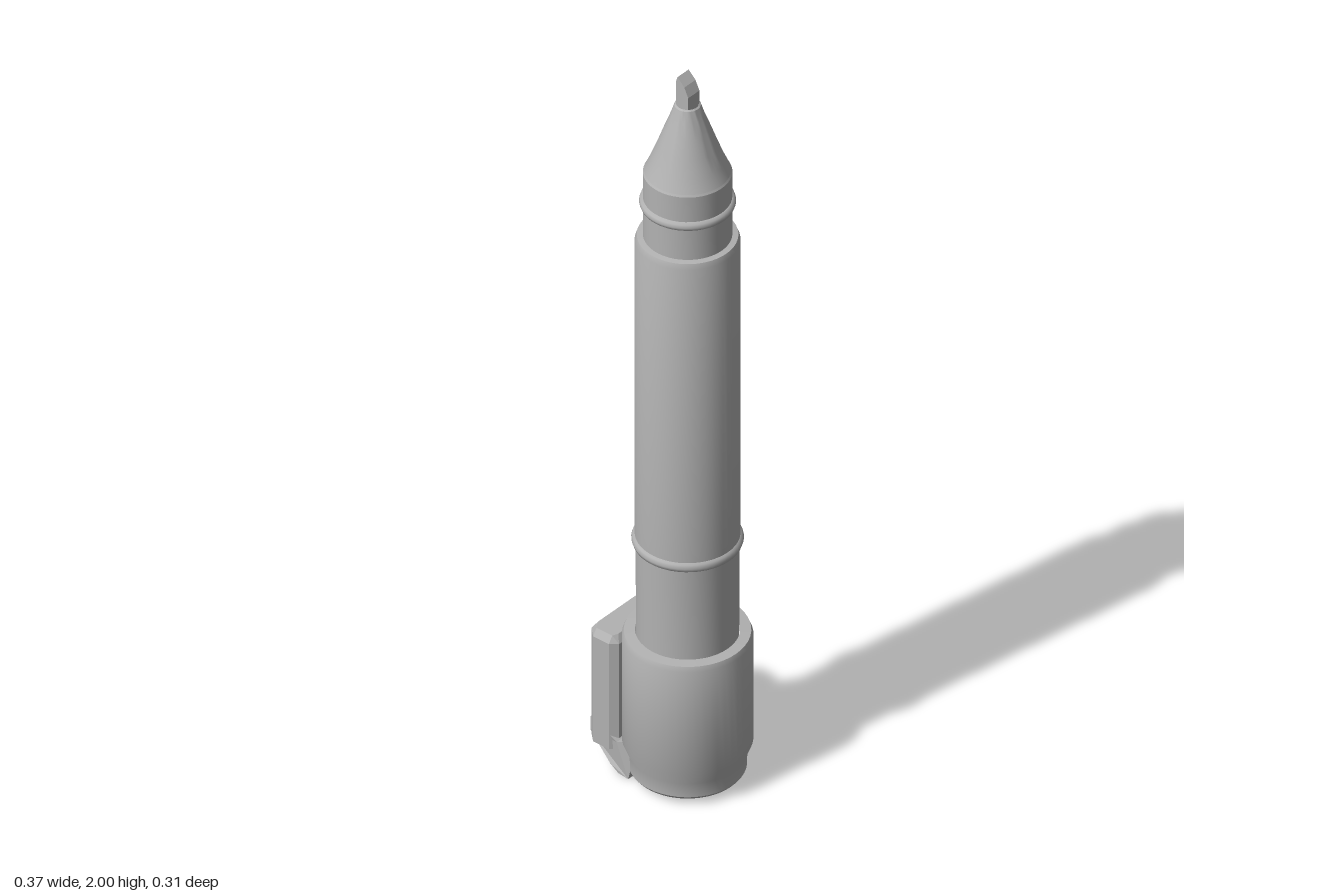
import * as THREE from 'three';
import { toCreasedNormals } from 'three/addons/utils/BufferGeometryUtils.js';
import { ConvexGeometry } from 'three/addons/geometries/ConvexGeometry.js';

export function createModel() {
  const model = new THREE.Group();
  const grey = new THREE.MeshStandardMaterial({ color: 0xb2b2b2 });
  const axisX = 0.03; // the pen axis sits beside the clip

  function add(name, geometry, x = 0) {
    const mesh = new THREE.Mesh(geometry, grey);
    mesh.name = name;
    mesh.position.x = x;
    model.add(mesh);
  }
  // Turned part from [radius, height] pairs, listed bottom to top
  function turned(name, profile) {
    const points = profile.map(([r, y]) => new THREE.Vector2(r, y));
    add(name, toCreasedNormals(new THREE.LatheGeometry(points, 48), 0.5), axisX);
  }
  function ring(name, radius, tube, y) {
    const geometry = new THREE.TorusGeometry(radius, tube, 10, 48);
    geometry.rotateX(Math.PI / 2).translate(0, y, 0);
    add(name, geometry, axisX);
  }

  // Cap with stepped foot and recessed end
  turned('cap', [
    [0, 0.04], [0.098, 0.04], [0.105, 0.018], [0.132, 0.018], [0.138, 0.026],
    [0.139, 0.065], [0.153, 0.1], [0.153, 0.395], [0.148, 0.408], [0.122, 0.41],
  ]);

  // Barrel
  turned('lowerBarrel', [[0.12, 0.4], [0.121, 0.67]]);
  ring('barrelRing', 0.115, 0.016, 0.675);
  turned('barrel', [[0.123, 0.67], [0.123, 1.53], [0.118, 1.544], [0.104, 1.546]]);

  // Neck and grip cone
  turned('neck', [[0.104, 1.54], [0.104, 1.725], [0.1, 1.732]]);
  ring('neckRing', 0.1, 0.013, 1.642);
  turned('tipCone', [
    [0.102, 1.728], [0.088, 1.76], [0.071, 1.805], [0.055, 1.85],
    [0.04, 1.89], [0.031, 1.918], [0.027, 1.921], [0.021, 1.905], [0, 1.905],
  ]);

  // Slanted chisel nib
  const nib = [];
  for (const z of [-0.02, 0.02]) {
    for (const [x, y] of [[0.011, 1.9], [0.049, 1.9], [0.049, 1.955], [0.037, 1.98], [0.016, 2], [0.011, 1.985]]) {
      nib.push(new THREE.Vector3(x, y, z));
    }
  }
  add('nib', new ConvexGeometry(nib));

  // Clip plate: bevelled cross-sections stacked in height
  const clip = [];
  const sections = [[0.06, 0, 0], [0.362, 0, 0], [0.38, 0.012, 0.012]];
  for (const [y, dx, dz] of sections) {
    for (const side of [-1, 1]) {
      for (const [x, z] of [[-0.185 + dx, 0.092 - dz], [-0.16, 0.115 - dz], [-0.112, 0.115 - dz], [-0.094 - dx, 0.1 - dz]]) {
        clip.push(new THREE.Vector3(x, y, z * side));
      }
    }
  }
  add('clipPlate', new ConvexGeometry(clip));

  // Hook joining the clip to the foot of the cap
  const hook = new THREE.Shape();
  hook.moveTo(-0.185, 0.07);
  hook.lineTo(-0.16, 0.045);
  hook.lineTo(-0.11, 0.02);
  hook.lineTo(-0.085, 0.003);
  hook.lineTo(-0.055, 0);
  hook.lineTo(-0.05, 0.02);
  hook.lineTo(-0.05, 0.095);
  hook.lineTo(-0.06, 0.104);
  hook.lineTo(-0.09, 0.09);
  hook.lineTo(-0.13, 0.11);
  hook.lineTo(-0.185, 0.11);
  const hookGeometry = new THREE.ExtrudeGeometry(hook, { depth: 0.19, bevelEnabled: false });
  hookGeometry.translate(0, 0, -0.095);
  // Narrow the outer edge so it meets the bevelled plate
  const p = hookGeometry.attributes.position;
  for (let i = 0; i < p.count; i++) {
    if (p.getX(i) > -0.15) p.setZ(i, Math.sign(p.getZ(i)) * 0.113);
  }
  hookGeometry.computeVertexNormals();
  add('clipHook', hookGeometry);

  return model;
}
